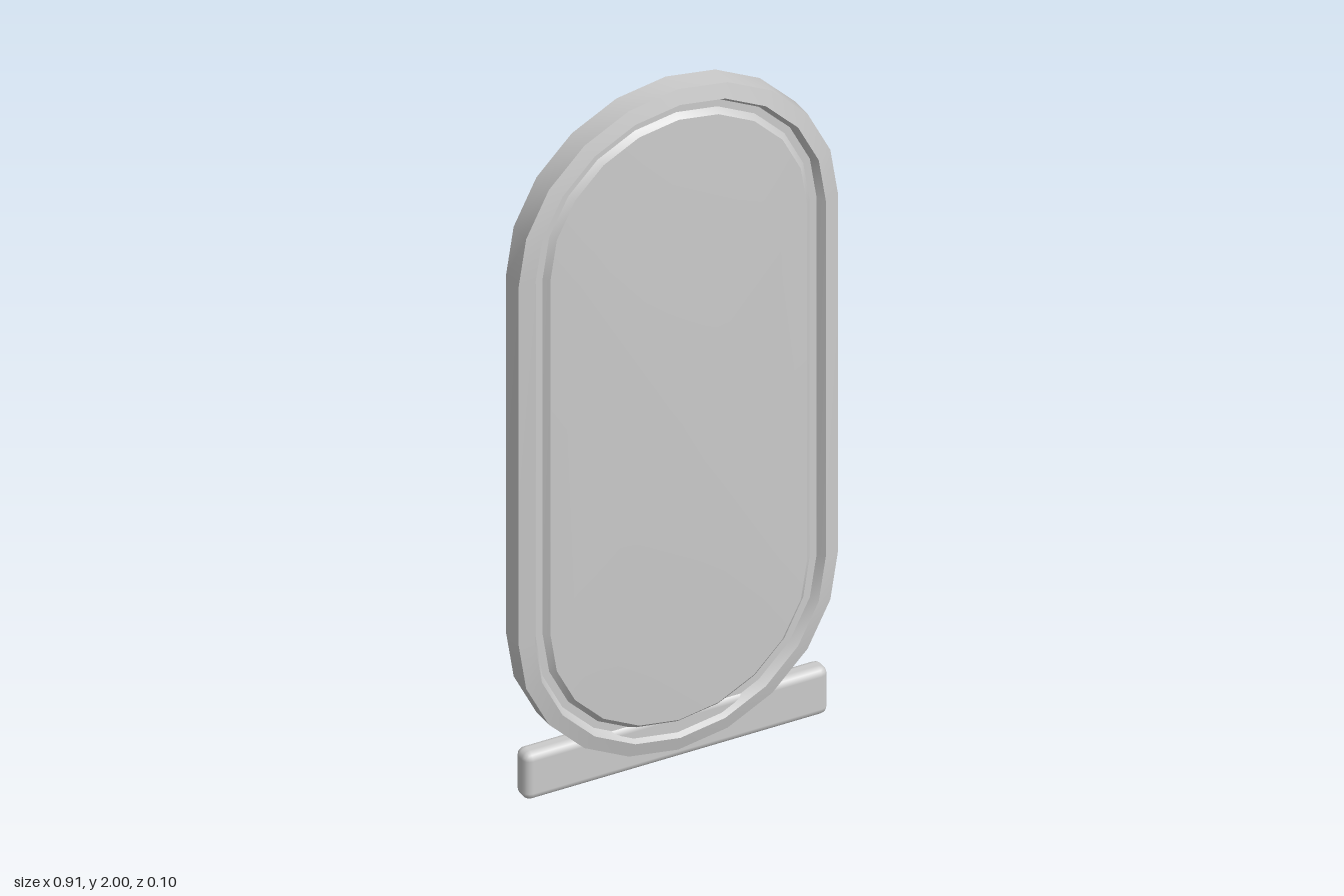
import * as THREE from 'three';
import { RoundedBoxGeometry } from 'three/addons/geometries/RoundedBoxGeometry.js';

const CENTER_Y = 1.015; // middle of the oblong
const STRAIGHT = 0.53;  // half length of the straight sides
const ARC = 10;         // segments per rounded end

// Oblong ring of the given end radius at depth z, optionally shrunk towards its centre
function ring(radius, z, scale = 1) {
  const points = [];
  for (const end of [1, -1]) {
    for (let i = 0; i <= ARC; i++) {
      const a = (i / ARC) * Math.PI + (end > 0 ? 0 : Math.PI);
      points.push([
        Math.cos(a) * radius * scale,
        CENTER_Y + (Math.sin(a) * radius + end * STRAIGHT) * scale,
        z,
      ]);
    }
  }
  return points;
}

// Smooth closed surface through consecutive rings
function loft(rings) {
  const n = rings[0].length;
  const index = [];
  for (let r = 0; r < rings.length - 1; r++) {
    for (let i = 0; i < n; i++) {
      const j = (i + 1) % n;
      const a = r * n + i, b = (r + 1) * n + i, c = (r + 1) * n + j, d = r * n + j;
      index.push(a, b, c, a, c, d);
    }
  }
  const geometry = new THREE.BufferGeometry();
  geometry.setAttribute('position', new THREE.Float32BufferAttribute(rings.flat(2), 3));
  geometry.setIndex(index);
  geometry.computeVertexNormals();
  return geometry;
}

export function createModel() {
  const model = new THREE.Group();
  const material = new THREE.MeshStandardMaterial({ color: 0xcccccc });
  const add = (name, geometry, parent = model) => {
    const mesh = new THREE.Mesh(geometry, material);
    mesh.name = name;
    parent.add(mesh);
    return mesh;
  };

  // Frame section from panel edge to rim [end radius, depth], mirrored to the back
  const half = [[0.365, 0.036], [0.38, 0.022], [0.4, 0.022], [0.414, 0.044], [0.455, 0.033]];
  const section = [...half, ...half.map(([r, z]) => [r, -z]).reverse()];
  const frame = new THREE.Group();
  frame.name = 'frame';
  model.add(frame);
  const bandNames = ['panelBevel', 'grooveFloor', 'grooveWall', 'faceBevel'];
  for (let i = 0; i < section.length - 1; i++) {
    const name = i < 4 ? bandNames[i] + 'Front' : i === 4 ? 'outerRim' : bandNames[8 - i] + 'Back';
    add(name, loft([ring(...section[i]), ring(...section[i + 1])]), frame);
  }

  // Slightly domed panels on both faces
  const steps = [0, 0.2, 0.4, 0.6, 0.8, 1];
  const dome = (side) => steps.map((t) => ring(0.365, side * (0.052 - 0.016 * t * t), t));
  add('frontPanel', loft(dome(1)));
  add('backPanel', loft(dome(-1).reverse()));

  // Foot bar
  const bar = add('footBar', new RoundedBoxGeometry(0.865, 0.14, 0.06, 2, 0.022));
  bar.position.y = 0.07;

  return model;
}
